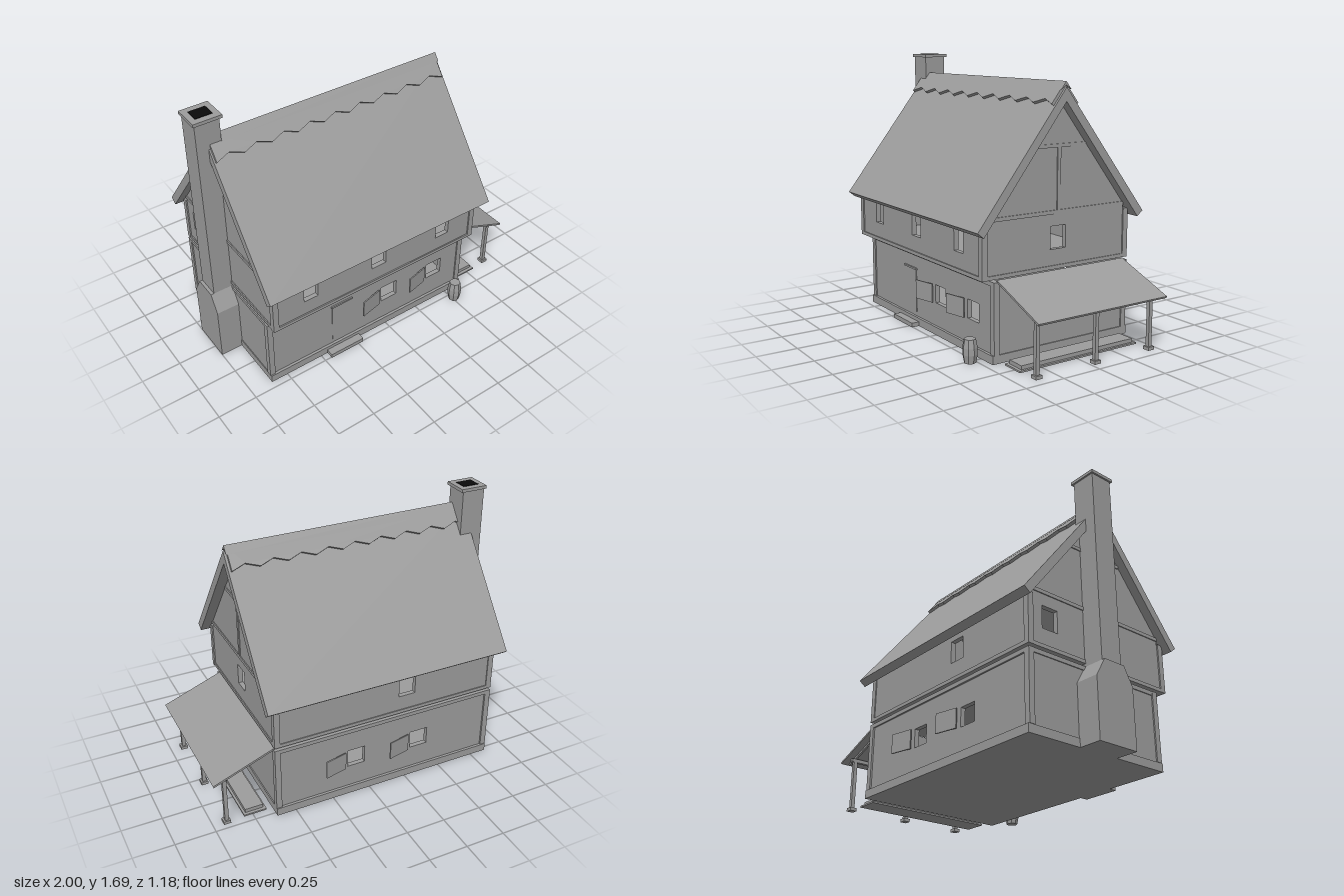
import * as THREE from 'three';

export function createModel() {
  const house = new THREE.Group();
  house.name = 'house';
  const grey = new THREE.MeshStandardMaterial({ color: 0x9c9c9c });
  grey.name = 'stone grey';
  const black = new THREE.MeshStandardMaterial({ color: 0x0a0a0a });
  black.name = 'flue black';

  const add = (name, geo, mat = grey) => {
    const m = new THREE.Mesh(geo, mat);
    m.name = name;
    house.add(m);
    return m;
  };
  // Box given by its limits on each axis
  const box = (name, x0, x1, y0, y1, z0, z1, mat) =>
    add(name, new THREE.BoxGeometry(x1 - x0, y1 - y0, z1 - z0)
      .translate((x0 + x1) / 2, (y0 + y1) / 2, (z0 + z1) / 2), mat);
  const outline = (pts) => new THREE.Shape(pts.map(([x, y]) => new THREE.Vector2(x, y)));
  const rect = (x0, x1, y0, y1) => [[x0, y0], [x1, y0], [x1, y1], [x0, y1]];
  // Slab with rectangular openings, facing z
  const slab = (pts, holes, depth) => {
    const s = outline(pts);
    for (const h of holes) s.holes.push(new THREE.Path(rect(...h).map(([x, y]) => new THREE.Vector2(x, y))));
    return new THREE.ExtrudeGeometry(s, { depth, bevelEnabled: false });
  };
  const wallZ = (name, z, pts, holes) => add(name, slab(pts, holes, 0.03).translate(0, 0, z));
  // Profile coordinates here are (-z, y)
  const alongX = (name, x, pts, holes, depth) =>
    add(name, slab(pts, holes, depth).rotateY(Math.PI / 2).translate(x, 0, 0));

  const X0 = -0.855, X1 = 0.615;

  // Ground storey
  box('plinth', X0 - 0.005, 0.622, 0, 0.05, -0.53, 0.455);
  wallZ('groundFrontWall', 0.408, rect(X0, X1, 0.05, 0.47),
    [[-0.03, 0.09, 0.195, 0.31], [0.335, 0.455, 0.195, 0.31]]);
  wallZ('groundBackWall', -0.513, rect(X0, X1, 0.05, 0.47),
    [[0.03, 0.145, 0.195, 0.31], [-0.41, -0.29, 0.195, 0.31]]);
  alongX('groundRightWall', X1 - 0.03, rect(-0.408, 0.483, 0.05, 0.47), [], 0.03);
  alongX('groundLeftWall', X0, rect(-0.408, 0.483, 0.05, 0.47), [], 0.03);

  // Upper storey, overhanging the front
  box('upperFloor', X0 + 0.01, X1 - 0.01, 0.488, 0.505, -0.5, 0.5);
  wallZ('upperFrontWall', 0.488, rect(X0, X1, 0.488, 0.785),
    [[-0.65, -0.555, 0.605, 0.74], [-0.17, -0.065, 0.605, 0.74], [0.32, 0.42, 0.605, 0.74]]);
  wallZ('upperBackWall', -0.518, rect(X0, X1, 0.488, 0.785), [[-0.305, -0.195, 0.605, 0.74]]);
  const gable = [[-0.488, 0.488], [0.488, 0.488], [0.488, 0.83], [0, 1.46], [-0.488, 0.83]];
  alongX('rightGable', X1 - 0.03, gable, [[-0.055, 0.055, 0.605, 0.74]], 0.03);
  alongX('leftGable', X0, gable, [[0.31, 0.42, 0.605, 0.74]], 0.03);

  // Timber frame: corner posts, plates and gable beams
  for (const [x0, x1] of [[X0 - 0.008, X0 + 0.028], [X1 - 0.028, X1 + 0.008]]) {
    for (const [z, y0, y1] of [[0.428, 0.05, 0.47], [-0.506, 0.05, 0.47], [0.508, 0.488, 0.79], [-0.506, 0.488, 0.79]])
      box('cornerPost', x0, x1, y0, y1, z - 0.018, z + 0.018);
  }
  for (const [y0, y1, front] of [[0.445, 0.47, 0.446], [0.488, 0.51, 0.526]]) {
    box('frontPlate', X0, X1, y0, y1, front - 0.025, front);
    box('backPlate', X0, X1, y0, y1, -0.524, -0.5);
  }
  for (const [x0, x1] of [[X0 - 0.006, X0 + 0.01], [X1 - 0.01, X1 + 0.006]]) {
    box('groundSidePlate', x0, x1, 0.445, 0.47, -0.5, 0.42);
    box('upperSidePlate', x0, x1, 0.488, 0.51, -0.5, 0.5);
    box('tieBeam', x0, x1, 0.81, 0.832, -0.488, 0.488);
    box('collarBeam', x0, x1, 1.19, 1.21, -0.19, 0.19);
    box('kingPost', x0, x1, 0.832, 1.19, -0.012, 0.012);
  }

  // Main roof
  alongX('roof', -0.91, [[0, 1.45], [0.55, 0.743], [0.59, 0.775], [0, 1.53], [-0.59, 0.775], [-0.55, 0.743]], [], 1.59);

  // Zigzag ridge boards, one on each slope
  const lean = Math.atan2(0.59, 0.755);
  const zigzag = [[0.665, 0.018], [-0.9, 0.018]];
  const teeth = 9, pitch = 1.565 / teeth;
  for (let i = 0; i <= teeth; i++) {
    zigzag.push([-0.9 + i * pitch, -0.13]);
    if (i < teeth) zigzag.push([-0.9 + (i + 0.5) * pitch, -0.098]);
  }
  for (const side of [1, -1]) {
    const geo = slab(zigzag.map(([x, y]) => [side * x, y]).slice(), [], 0.018).rotateX(-lean);
    if (side < 0) geo.rotateY(Math.PI);
    add('ridgeBoard', geo.translate(0, 1.53, 0));
  }
  alongX('ridgeCap', -0.83, [[-0.035, 1.517], [0, 1.54], [0.035, 1.517], [0, 1.562]], [], 1.505);

  // Chimney: wide base, sloping shoulders, shaft and cap
  alongX('chimneyBase', -1, [[-0.09, 0], [0.18, 0], [0.18, 0.36], [0.115, 0.47], [-0.03, 0.47], [-0.09, 0.36]], [], 0.165);
  box('chimneyShaft', -0.98, -0.83, 0.46, 1.67, -0.115, 0.03);
  box('chimneyCap', -0.99, -0.815, 1.665, 1.685, -0.125, 0.04);
  box('flue', -0.955, -0.85, 1.68, 1.688, -0.085, 0, black);

  // Door and front step
  box('door', -0.405, -0.265, 0.08, 0.355, 0.43, 0.442);
  box('doorLintel', -0.413, -0.257, 0.353, 0.364, 0.43, 0.448);
  box('frontStep', -0.455, -0.215, 0, 0.027, 0.44, 0.505);

  // Shutters swung away from the windows
  const shutter = (hingeX, z, dir) => {
    const m = add('shutter', new THREE.BoxGeometry(0.147, 0.118, 0.008).translate(dir * 0.0735, 0, 0));
    m.position.set(hingeX, 0.252, z);
    m.rotation.y = 0.22;
  };
  for (const x of [-0.053, 0.312]) shutter(x, 0.448, -1);
  for (const x of [0.165, -0.268]) shutter(x, -0.526, 1);

  // Lean-to roof with rafters, beam and footed posts
  const slope = Math.atan2(0.15, 0.39);
  const sloped = (name, thick, drop, len, z0, z1) => {
    const m = add(name, new THREE.BoxGeometry(len, thick, z1 - z0).translate(len / 2, -drop, 0));
    m.position.set(0.61, 0.48, (z0 + z1) / 2);
    m.rotation.z = -slope;
  };
  sloped('porchRoof', 0.012, 0.006, 0.415, -0.5, 0.42);
  for (const z of [0.37, 0.17, -0.04, -0.2, -0.445]) sloped('porchRafter', 0.014, 0.018, 0.4, z - 0.007, z + 0.007);
  box('porchBeam', 0.903, 0.927, 0.32, 0.342, -0.47, 0.39);
  for (const z of [0.37, -0.04, -0.445]) {
    box('porchPost', 0.903, 0.927, 0, 0.34, z - 0.012, z + 0.012);
    box('postFoot', 0.894, 0.938, 0, 0.02, z - 0.022, z + 0.022);
  }

  // Stepped slab beneath the lean-to
  box('porchSlab', 0.66, 0.805, 0, 0.01, -0.45, 0.4);
  box('porchStep', 0.675, 0.79, 0.01, 0.033, -0.43, 0.38);

  // Barrel
  const profile = [[0, 0], [0.035, 0], [0.044, 0.05], [0.044, 0.09], [0.035, 0.14], [0, 0.14]];
  const barrel = new THREE.LatheGeometry(profile.map(([r, y]) => new THREE.Vector2(r, y)), 8).toNonIndexed();
  barrel.computeVertexNormals();
  add('barrel', barrel).position.set(0.512, 0, 0.535);

  return house;
}
